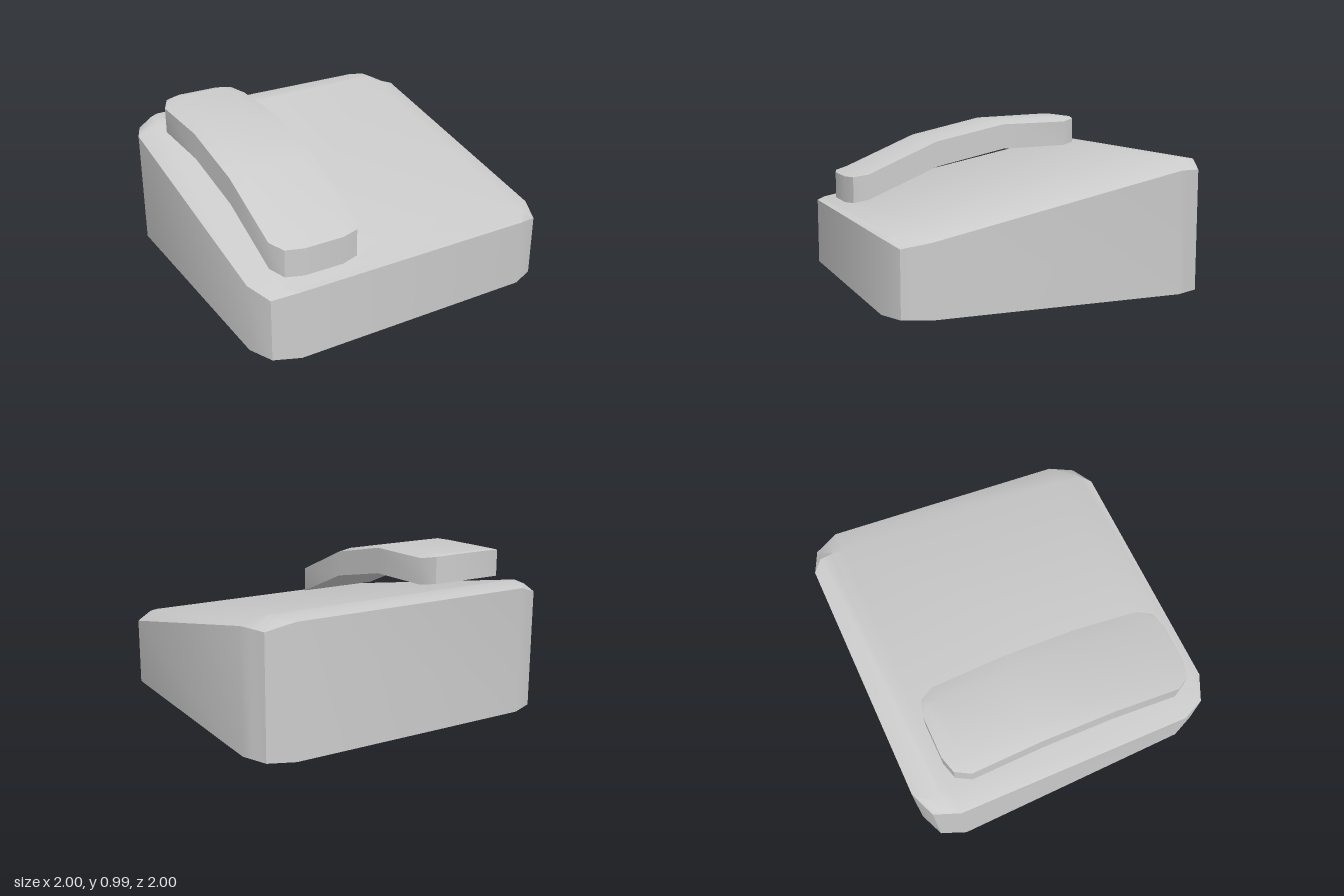
import * as THREE from 'three';
import { toCreasedNormals } from 'three/addons/utils/BufferGeometryUtils.js';

// Lofts six-point cross-sections from front to back.
// Station: [z, half width, bottom y, side top y, middle top y]; crown = half width of the flat middle.
function loft(stations, crown) {
  const rings = stations.map(([z, w, bottom, side, mid]) => {
    const m = Math.min(w, crown);
    return [[-w, bottom], [w, bottom], [w, side], [m, mid], [-m, mid], [-w, side]]
      .map(([x, y]) => new THREE.Vector3(x, y, z));
  });
  const positions = [];
  const tri = (a, b, c) => {
    if (new THREE.Triangle(a, b, c).getArea() < 1e-7) return; // skip collapsed corners
    for (const p of [a, b, c]) positions.push(p.x, p.y, p.z);
  };
  for (let i = 0; i < rings.length - 1; i++) {
    const front = rings[i], back = rings[i + 1];
    for (let j = 0; j < 6; j++) {
      const k = (j + 1) % 6;
      tri(front[j], back[j], front[k]);
      tri(front[k], back[j], back[k]);
    }
  }
  // End walls
  const first = rings[0], last = rings[rings.length - 1];
  for (let j = 1; j < 5; j++) {
    tri(first[0], first[j], first[j + 1]);
    tri(last[0], last[j + 1], last[j]);
  }
  const geometry = new THREE.BufferGeometry();
  geometry.setAttribute('position', new THREE.Float32BufferAttribute(positions, 3));
  return toCreasedNormals(geometry, 0.6);
}

export function createModel() {
  const group = new THREE.Group();
  const material = new THREE.MeshStandardMaterial({ color: 0xcccccc });
  const add = (name, geometry) => {
    const mesh = new THREE.Mesh(geometry, material);
    mesh.name = name;
    group.add(mesh);
    return mesh;
  };

  // Wedge body with clipped corners and a sloping, softly crowned top
  add('wedgeBase', loft([
    [1, 0.78, 0, 0.432, 0.432],
    [0.935, 0.935, 0, 0.39, 0.443],
    [0.78, 1, 0, 0.425, 0.475],
    [-0.78, 1, 0, 0.745, 0.791],
    [-0.85, 0.97, 0, 0.742, 0.805],
    [-0.935, 0.935, 0, 0.737, 0.797],
    [-1, 0.78, 0, 0.787, 0.787],
  ], 0.85));

  // Long curved pedal plate floating above the slope
  const pedal = add('pedalPlate', loft([
    [0.89, 0.125, 0.455, 0.627, 0.627],
    [0.86, 0.235, 0.461, 0.631, 0.637],
    [0.77, 0.285, 0.485, 0.65, 0.665],
    [0.3, 0.285, 0.682, 0.85, 0.867],
    [-0.18, 0.285, 0.785, 0.952, 0.972],
    [-0.64, 0.285, 0.796, 0.96, 0.988],
    [-0.73, 0.235, 0.812, 0.978, 0.99],
    [-0.76, 0.13, 0.82, 0.987, 0.987],
  ], 0.19));
  pedal.position.x = -0.57;

  return group;
}
